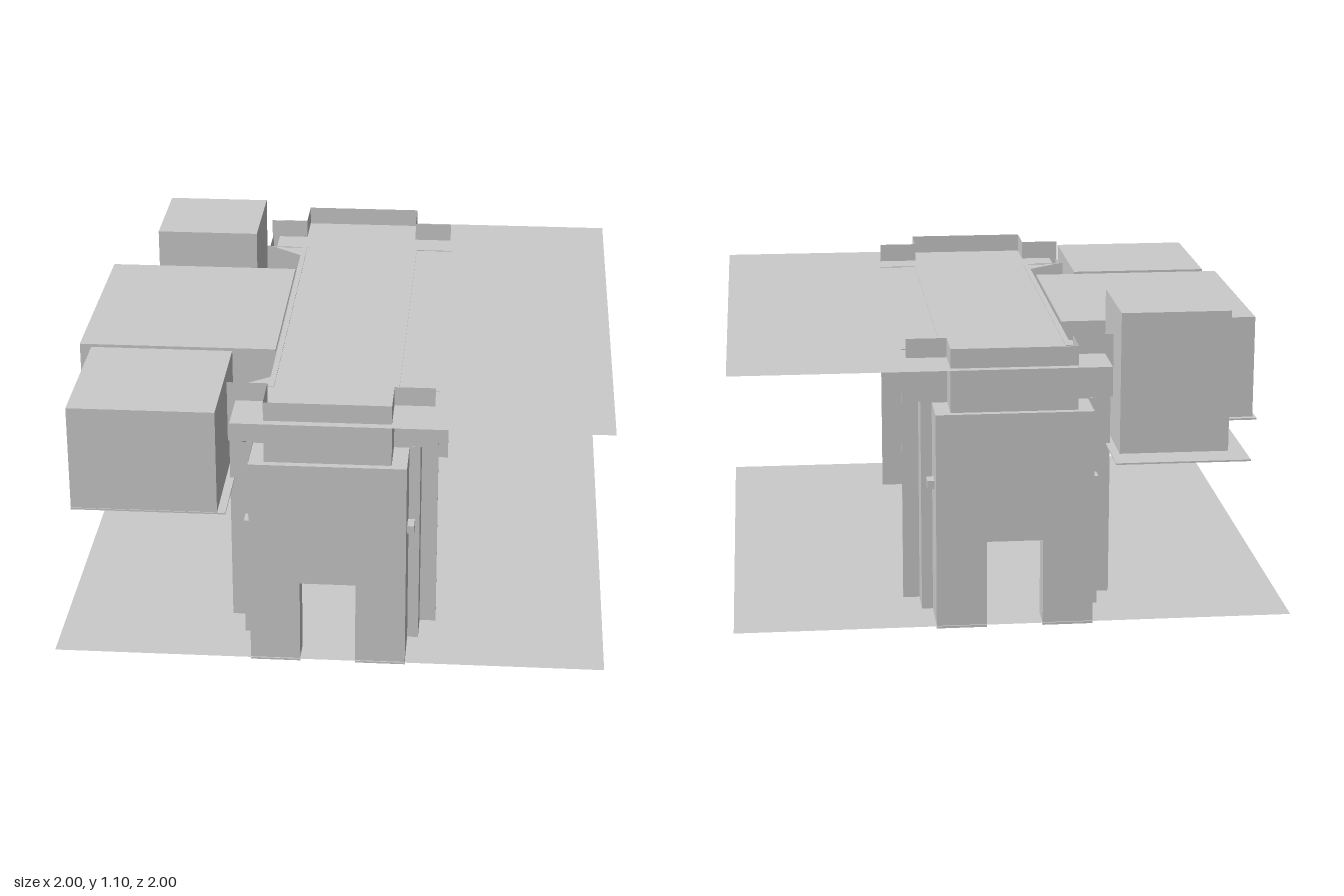
import * as THREE from 'three';

const mat = new THREE.MeshStandardMaterial({ color: 0xcccccc, side: THREE.DoubleSide, flatShading: true });

function add(parent, name, geo) {
  const m = new THREE.Mesh(geo, mat);
  m.name = name;
  parent.add(m);
  return m;
}

// Box given by its minimum and maximum on each axis
function box(parent, name, x0, x1, y0, y1, z0, z1) {
  const g = new THREE.BoxGeometry(x1 - x0, y1 - y0, z1 - z0);
  g.translate((x0 + x1) / 2, (y0 + y1) / 2, (z0 + z1) / 2);
  return add(parent, name, g);
}

// Thin sheet joining two matching rows of 3D points
function ribbon(parent, name, rowA, rowB) {
  const pos = [];
  for (let i = 0; i < rowA.length - 1; i++) {
    const [a, b, c, d] = [rowA[i], rowA[i + 1], rowB[i + 1], rowB[i]];
    pos.push(...a, ...b, ...c, ...a, ...c, ...d);
  }
  const g = new THREE.BufferGeometry();
  g.setAttribute('position', new THREE.Float32BufferAttribute(pos, 3));
  g.computeVertexNormals();
  return add(parent, name, g);
}

// Sheet standing on a plan path of [x, z] points
function standing(parent, name, path, y0, y1) {
  return ribbon(parent, name, path.map(([x, z]) => [x, y0, z]), path.map(([x, z]) => [x, y1, z]));
}

// Sheet with a profile of [x, y] points swept along z
function swept(parent, name, profile, z0, z1) {
  return ribbon(parent, name, profile.map(([x, y]) => [x, y, z1]), profile.map(([x, y]) => [x, y, z0]));
}

function polygon(points) {
  return new THREE.Shape(points.map(([x, y]) => new THREE.Vector2(x, y)));
}

function rect(x0, x1, y0, y1) {
  return polygon([[x0, y0], [x1, y0], [x1, y1], [x0, y1]]);
}

// Flat horizontal sheet from a plan outline of [x, z] points
function level(parent, name, points, y) {
  const g = new THREE.ShapeGeometry(polygon(points.map(([x, z]) => [x, -z])));
  g.rotateX(-Math.PI / 2);
  g.translate(0, y, 0);
  return add(parent, name, g);
}

// Entrance end of the hall, facing +z
function createEnd() {
  const end = new THREE.Group();

  // Entrance slab with a doorway cut from its lower edge
  const slab = polygon([[-0.28, 0], [-0.1, 0], [-0.1, 0.32], [0.1, 0.32], [0.1, 0], [0.28, 0], [0.28, 0.79], [-0.28, 0.79]]);
  const slabGeo = new THREE.ExtrudeGeometry(slab, { depth: 0.025, bevelEnabled: false });
  slabGeo.translate(0, 0, 0.97);
  add(end, 'entranceWall', slabGeo);
  ribbon(end, 'doorPassage',
    [[-0.1, 0, 0.97], [-0.1, 0.32, 0.97], [0.1, 0.32, 0.97], [0.1, 0, 0.97]],
    [[-0.1, 0, 0.9], [-0.1, 0.32, 0.9], [0.1, 0.32, 0.9], [0.1, 0, 0.9]]);

  // Upper front with side returns and wings, rising through the roof
  standing(end, 'parapet', [[-0.37, 0.81], [-0.225, 0.81], [-0.225, 0.97], [0.225, 0.97], [0.225, 0.81], [0.37, 0.81]], 0.79, 1.02);
  level(end, 'porchTop', [[-0.28, 0.97], [0.28, 0.97], [0.28, 0.81], [-0.28, 0.81]], 0.785);

  for (const s of [-1, 1]) {
    // Porch side stepping out into a pier
    standing(end, 'porchSide', [[0.28, 0.97], [0.28, 0.815], [0.32, 0.815], [0.32, 0.69]].map(([x, z]) => [s * x, z]), 0.005, 0.79);
    box(end, 'fin', Math.min(s * 0.235, s * 0.38), Math.max(s * 0.235, s * 0.38), 0.005, 0.953, 0.685, 0.69);
    // Curved corbel above the pier
    swept(end, 'corbel', [[0.29, 0.785], [0.325, 0.8], [0.35, 0.84], [0.363, 0.89], [0.368, 0.95]].map(([x, y]) => [s * x, y]), 0.69, 0.81);
    // Small lamp on the porch side
    box(end, 'sideLamp', Math.min(s * 0.28, s * 0.305), Math.max(s * 0.28, s * 0.305), 0.5, 0.53, 0.87, 0.925);
  }
  return end;
}

// Long hall wall on the +x side, with a bulging middle band and a window
function createSideWall() {
  const wall = new THREE.Group();
  swept(wall, 'bulgingWall', [[0.235, 0.005], [0.235, 0.13], [0.28, 0.19], [0.28, 0.49], [0.235, 0.555]], -0.69, 0.69);
  const upper = rect(-0.69, 0.69, 0.555, 0.953);
  upper.holes.push(rect(-0.33, 0.33, 0.57, 0.78));
  const g = new THREE.ExtrudeGeometry(upper, { depth: 0.02, bevelEnabled: false });
  g.rotateY(Math.PI / 2);
  g.translate(0.215, 0, 0);
  add(wall, 'upperWall', g);
  box(wall, 'windowPane', 0.216, 0.22, 0.57, 0.78, -0.33, 0.33);
  return wall;
}

// Raised side rooms on the -x side
function createAnnex() {
  const annex = new THREE.Group();
  annex.name = 'annex';

  // Central room: walls, top, floor and a doorway in the outer wall
  const outer = polygon([[-0.4, 0.58], [-0.1, 0.58], [-0.1, 0.88], [0.09, 0.88], [0.09, 0.58], [0.4, 0.58], [0.4, 0.965], [-0.4, 0.965]]);
  const g = new THREE.ShapeGeometry(outer);
  g.rotateY(-Math.PI / 2);
  g.translate(-0.968, 0, 0);
  add(annex, 'centralOuterWall', g);
  for (const s of [-1, 1]) {
    standing(annex, 'centralEndWall', [[-0.968, s * 0.4], [-0.24, s * 0.4]], 0.58, 0.965);
    // Short link between the central and end rooms
    box(annex, 'link', -0.68, -0.5, 0.58, 0.88, s * 0.42 - 0.02, s * 0.42 + 0.02);
  }
  box(annex, 'centralTop', -0.968, -0.237, 0.962, 0.97, -0.4, 0.4);
  box(annex, 'centralFloor', -0.98, -0.237, 0.575, 0.582, -0.42, 0.42);

  // Door surround standing proud of the outer wall
  ribbon(annex, 'doorSurround',
    [[-1, 0.58, -0.1], [-1, 0.89, -0.1], [-1, 0.89, 0.09], [-1, 0.58, 0.09]],
    [[-0.968, 0.58, -0.1], [-0.968, 0.89, -0.1], [-0.968, 0.89, 0.09], [-0.968, 0.58, 0.09]]);
  box(annex, 'doorSill', -1, -0.968, 0.575, 0.58, -0.1, 0.09);

  // End rooms on their floor plates
  box(annex, 'frontRoom', -0.92, -0.395, 0.58, 0.972, 0.43, 0.965);
  box(annex, 'frontFloor', -0.92, -0.365, 0.575, 0.581, 0.42, 0.968);
  box(annex, 'backRoom', -0.79, -0.395, 0.58, 1.1, -0.83, -0.44);
  box(annex, 'backFloor', -0.85, -0.365, 0.575, 0.581, -0.945, -0.42);
  return annex;
}

export function createModel() {
  const model = new THREE.Group();
  model.name = 'hall';

  level(model, 'ground', [[-1, 1], [1, 1], [1, -1], [-1, -1]], 0.01);
  // Roof sheet, notched where the annex meets the hall
  level(model, 'roof', [[-0.34, 1], [1, 1], [1, -1], [-0.34, -1], [-0.34, -0.68], [-0.235, -0.6], [-0.235, 0.6], [-0.34, 0.68]], 0.95);

  ['front', 'back'].forEach((side, i) => {
    const end = createEnd();
    end.name = side + 'End';
    end.rotation.y = i * Math.PI;
    model.add(end);
  });
  ['left', 'right'].forEach((side, i) => {
    const wall = createSideWall();
    wall.name = side + 'Wall';
    wall.rotation.y = i * Math.PI;
    model.add(wall);
  });
  model.add(createAnnex());
  return model;
}
